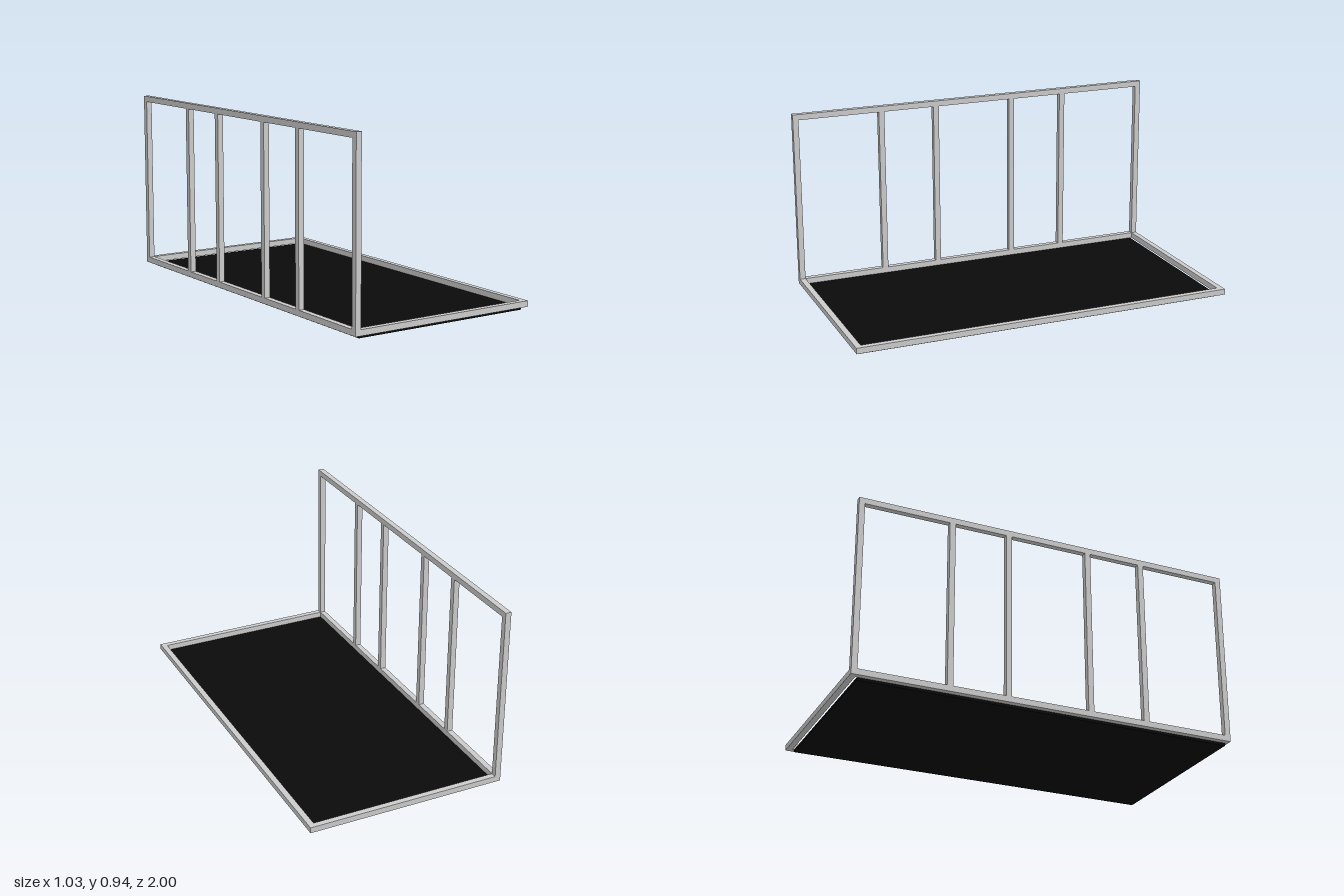
import * as THREE from 'three';

export function createModel() {
  const model = new THREE.Group();
  const grey = new THREE.MeshStandardMaterial({ color: 0xcccccc });
  const black = new THREE.MeshStandardMaterial({ color: 0x0a0a0a });

  const T = 0.03;              // square tube thickness
  const W = 1.03, L = 2;       // outer width and length
  const floorH = 0.014;        // floor panel thickness
  const H = 0.94;              // overall height
  const sideX = W / 2 - T / 2; // centre line of the side rails
  const endZ = L / 2 - T / 2;  // centre line of the end rails

  function bar(name, size, pos, material = grey) {
    const mesh = new THREE.Mesh(new THREE.BoxGeometry(...size), material);
    mesh.name = name;
    mesh.position.set(...pos);
    model.add(mesh);
  }

  // Floor panel under the base frame
  bar('floorPanel', [W - 2 * T, floorH, 1.946], [0, floorH / 2, 0.011], black);

  // Base frame: long side rails with end rails between them
  const baseY = floorH + T / 2;
  for (const s of [-1, 1]) {
    bar(s < 0 ? 'rightBaseRail' : 'leftBaseRail', [T, T, L], [s * sideX, baseY, 0]);
    bar(s < 0 ? 'backBaseRail' : 'frontBaseRail', [W - 2 * T, T, T], [0, baseY, s * endZ]);
  }

  // Side wall: top rail carried by six posts
  bar('topRail', [T, T, L], [-sideX, H - T / 2, 0]);
  const postBottom = floorH + T, postTop = H - T;
  for (const z of [endZ, 0.523, 0.219, -0.217, -0.517, -endZ]) {
    bar('wallPost', [T, postTop - postBottom, T], [-sideX, (postTop + postBottom) / 2, z]);
  }

  return model;
}
